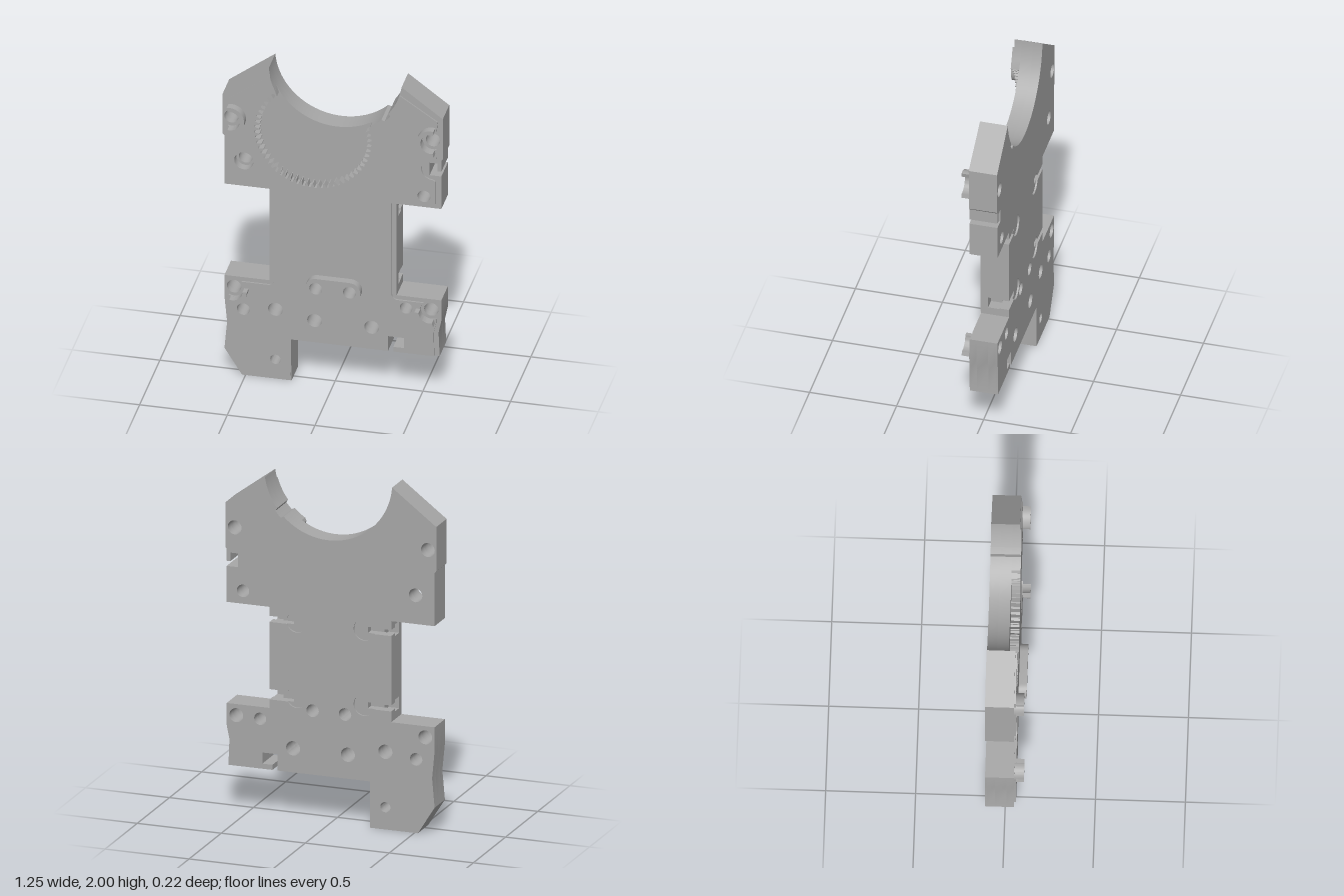
import * as THREE from 'three';
import { toCreasedNormals } from 'three/addons/utils/BufferGeometryUtils.js';

const rad = Math.PI / 180;

// points along an arc, angles in degrees
function arc(cx, cy, r, a0, a1, step = 6) {
  const n = Math.max(2, Math.ceil(Math.abs(a1 - a0) / step));
  return Array.from({ length: n + 1 }, (_, i) => {
    const a = (a0 + (a1 - a0) * i / n) * rad;
    return [cx + r * Math.cos(a), cy + r * Math.sin(a)];
  });
}

// large round bite in the top edge, with a small groove on its right side
const BITE = [0.013, 2.03, 0.381];
function bite(a0, a1) {
  return [
    ...arc(...BITE, a0, -37, 3),
    ...arc(BITE[0], BITE[1], BITE[2] + 0.018, -38, -45, 3),
    ...arc(...BITE, -46, a1, 3),
  ];
}

// bite joined with the internal-toothed round pocket
const GEAR = [-0.113, 1.6];
function biteWithGear(a0, a1) {
  const teeth = [];
  const pitch = 6;
  for (let a = 24; a > -240; a -= pitch) {
    for (const [f, r] of [[0, 0.307], [0.18, 0.307], [0.4, 0.333], [0.75, 0.333]]) {
      const t = (a - f * pitch) * rad;
      teeth.push([GEAR[0] + r * Math.cos(t), GEAR[1] + r * Math.sin(t)]);
    }
  }
  const cut = teeth.filter(([x, y]) => Math.hypot(x - BITE[0], y - BITE[1]) > BITE[2] + 0.004);
  const edge = bite(a0, a1).filter(([x, y]) => Math.hypot(x - GEAR[0], y - GEAR[1]) > 0.337);
  const right = edge.filter(([x]) => x > 0);
  const left = edge.filter(([x]) => x <= 0);
  return [...right, ...cut, ...left];
}

// hook-shaped slot in the bottom edge
const hook = [[0.315, 0.27], [0.315, 0.365], [0.405, 0.365], [0.405, 0.3], [0.345, 0.3], [0.345, 0.27]];

// slot entering the waist from the +x side, optionally ending in a disc
const NECK = 0.362;
function slot(y, h, depthX, disc) {
  const a = Math.asin(h / 2 / 0.062) / rad;
  const end = disc ? arc(0.2, y, 0.062, -a, a - 360, 10) : [[depthX, y - h / 2], [depthX, y + h / 2]];
  return [[NECK, y - h / 2], ...end, [NECK, y + h / 2]];
}
const mirror = pts => pts.map(([x, y]) => [-x, y]).reverse();

// full outline, counter-clockwise from the left tip
function outline(top, slots) {
  const make = (y, h) => (slots ? slot(y, slots.h ?? h, slots.x, slots.disc) : []);
  return [
    [-0.63, 1.8], [-0.63, 1.54], [-0.62, 1.53], [-0.62, 1.22], [-NECK, 1.22],
    ...mirror(make(1.15, 0.035)), ...mirror(make(0.71, 0.035)),
    [-NECK, 0.63], [-0.62, 0.63], [-0.62, 0.49], [-0.605, 0.33], [-0.62, 0.16],
    [-0.52, 0], [-0.237, 0], [-0.237, 0.27], ...hook,
    [0.607, 0.27], [0.601, 0.42], [0.617, 0.5], [0.617, 0.63], [NECK, 0.63],
    ...make(0.71, 0.06), ...make(1.15, 0.035),
    [NECK, 1.22], [0.617, 1.22], [0.617, 1.43], [0.55, 1.43], [0.55, 1.51],
    [0.595, 1.51], [0.595, 1.46], [0.617, 1.46], [0.617, 1.53], [0.625, 1.54], [0.625, 1.8],
    ...top,
  ];
}

// corner screw holes: x, y, boss start and end angle
const corners = [
  [-0.58, 1.66, -100, 100], [0.57, 1.66, 80, 280],
  [-0.565, 0.565, -105, 0], [0.56, 0.565, 180, 285],
];

// raised face outline, set in from the rim and curving round the corner holes
function faceOutline() {
  return [
    [-0.598, 1.775], ...arc(-0.58, 1.66, 0.06, 108, -108, 12), [-0.595, 1.25],
    ...arc(-0.37, 1.215, 0.035, 90, 0, 15), ...arc(-0.37, 0.64, 0.035, 0, -90, 15),
    ...arc(-0.565, 0.565, 0.06, 42, -120, 12),
    [-0.595, 0.48], [-0.58, 0.33], [-0.592, 0.17], [-0.505, 0.035], [-0.24, 0.035], [-0.237, 0.27],
    ...hook, [0.577, 0.27], [0.575, 0.42], [0.59, 0.49],
    ...arc(0.56, 0.565, 0.06, -60, -222, 12),
    ...arc(0.37, 0.64, 0.035, 270, 180, 15), ...arc(0.37, 1.215, 0.035, 180, 90, 15),
    [0.585, 1.25], [0.585, 1.395], ...arc(0.57, 1.47, 0.065, 270, 90, 20), [0.59, 1.545],
    ...arc(0.57, 1.66, 0.06, -70, -290, 12), [0.598, 1.78],
    ...biteWithGear(-16, -168),
  ];
}

// through holes: x, y, radius
const pillHoles = [[-0.087, 0.643, 0.037], [0.106, 0.643, 0.037]];
const plainHoles = [
  ...pillHoles,
  [0.52, 1.295, 0.037], [0.418, 0.56, 0.036], [-0.51, 0.43, 0.037], [-0.327, 0.453, 0.042],
  [-0.104, 0.41, 0.042], [0.222, 0.41, 0.042], [-0.327, 0.13, 0.03],
];
const cornerHoles = corners.map(([x, y]) => [x, y, 0.041]);
const bored = r => [-0.507, 1.387, r];

export function createModel() {
  const group = new THREE.Group();
  const grey = new THREE.MeshStandardMaterial({ color: 0xa8a8a8 });
  grey.name = 'grey';

  // extrude an outline with round holes between two depths
  function plate(name, pts, holes, z0, z1) {
    const shape = new THREE.Shape(pts.map(p => new THREE.Vector2(...p)));
    for (const [x, y, r] of holes) {
      shape.holes.push(new THREE.Path(arc(x, y, r, 0, 345, 15).map(p => new THREE.Vector2(...p))));
    }
    const geo = new THREE.ExtrudeGeometry(shape, { depth: z1 - z0, bevelEnabled: false });
    geo.translate(0, 0, z0);
    const mesh = new THREE.Mesh(toCreasedNormals(geo, 0.45), grey);
    mesh.name = name;
    group.add(mesh);
  }

  // body, stacked from back to front
  const holes = [...plainHoles, ...cornerHoles, bored(0.04)];
  const plainTop = bite(-8.3, -175.5);
  plate('backSkin', outline(plainTop, { disc: true }), holes, -0.11, -0.1);
  plate('channelLayer', outline(plainTop, { x: 0.22 }), holes, -0.1, -0.055);
  plate('boreLayer', outline(plainTop, { x: 0.3, h: 0.068 }), holes, -0.055, 0.01);
  plate('gearLayer', outline(biteWithGear(-8.3, -175.5)),
    [...plainHoles, ...cornerHoles, bored(0.055)], 0.01, 0.05);
  plate('raisedFace', faceOutline(), [...plainHoles, bored(0.055)], 0.05, 0.06);

  // curved bosses round the corner holes
  for (const [x, y, a0, a1] of corners) {
    plate('cornerBoss', [...arc(x, y, 0.085, a0, a1, 8), ...arc(x, y, 0.06, a1, a0, 8)], [], 0.05, 0.105);
  }

  // pill-shaped boss with two holes
  plate('pillBoss', [...arc(0.105, 0.643, 0.0625, -90, 90, 10), ...arc(-0.085, 0.643, 0.0625, 90, 270, 10)],
    pillHoles, 0.06, 0.105);

  return group;
}
